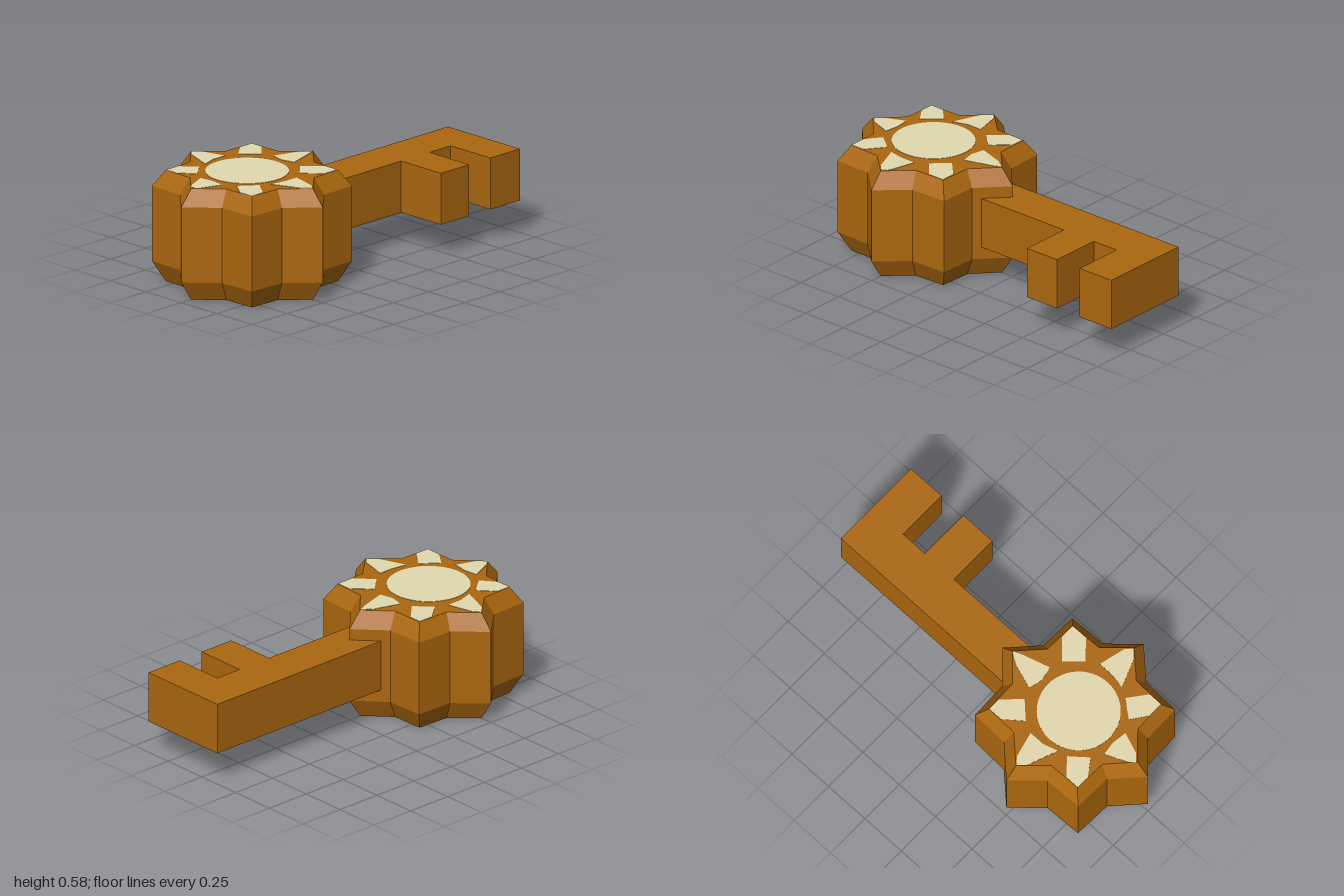
import * as THREE from 'three';

const bronze = new THREE.MeshStandardMaterial({ color: 0xab670f });
bronze.name = 'bronze';
const cream = new THREE.MeshStandardMaterial({ color: 0xe2d9ae });
cream.name = 'cream';

const HEAD_X = -0.5;
const HEAD_TOP = 0.583;

// Extrudes an outline of [x, z] points upward from y = base
function slab(shape, base, depth) {
  const geo = new THREE.ExtrudeGeometry(shape, { depth, bevelEnabled: false, curveSegments: 24 });
  geo.rotateX(-Math.PI / 2);
  geo.translate(0, base, 0);
  return geo;
}

const outline = (points) => new THREE.Shape(points.map(([x, z]) => new THREE.Vector2(x, -z)));

function add(group, name, geometry, material) {
  const mesh = new THREE.Mesh(geometry, material);
  mesh.name = name;
  group.add(mesh);
}

// Eight-pointed star with chamfered rims: a 16-sided lathe with every other column pulled in
function starHead() {
  const profile = [[0, 0], [0.43, 0], [0.5, 0.105], [0.5, 0.5], [0.43, HEAD_TOP], [0, HEAD_TOP]];
  const lathe = new THREE.LatheGeometry(profile.map(([r, y]) => new THREE.Vector2(r, y)), 16);
  const pos = lathe.attributes.position;
  for (let i = 0; i < pos.count; i++) {
    const column = Math.floor(i / profile.length);
    const k = column % 2 ? 0.78 : 1;
    pos.setX(i, pos.getX(i) * k);
    pos.setZ(i, pos.getZ(i) * k);
  }
  const geo = lathe.toNonIndexed();
  geo.computeVertexNormals();
  geo.translate(HEAD_X, 0, 0);
  return geo;
}

export function createModel() {
  const model = new THREE.Group();
  model.name = 'key';

  add(model, 'starHead', starHead(), bronze);

  // Shaft with two teeth on the front side
  const blade = outline([
    [-0.45, -0.115], [1, -0.115], [1, 0.395], [0.79, 0.395], [0.79, 0.115],
    [0.64, 0.115], [0.64, 0.395], [0.44, 0.395], [0.44, 0.115], [-0.45, 0.115],
  ]);
  add(model, 'shaftAndTeeth', slab(blade, 0.17, 0.27), bronze);

  // Sun emblem: disc and eight rays as thin plates
  const disc = new THREE.Shape().absarc(-0.53, 0.005, 0.21, 0, Math.PI * 2);
  add(model, 'sunDisc', slab(disc, HEAD_TOP - 0.002, 0.004), cream);

  const rays = {
    back: [[-0.5, -0.428], [-0.47, -0.39], [-0.435, -0.255], [-0.52, -0.255], [-0.6, -0.23], [-0.54, -0.39]],
    front: [[-0.5, 0.425], [-0.54, 0.385], [-0.6, 0.235], [-0.52, 0.25], [-0.435, 0.25], [-0.47, 0.39]],
    left: [[-0.072, 0], [-0.13, -0.04], [-0.267, -0.085], [-0.283, -0.01], [-0.267, 0.065], [-0.12, 0.02]],
    right: [[-0.928, -0.01], [-0.89, -0.035], [-0.78, -0.085], [-0.77, -0.01], [-0.78, 0.07], [-0.89, 0.03]],
    backRight: [[-0.805, -0.303], [-0.727, -0.303], [-0.652, -0.22], [-0.743, -0.144], [-0.805, -0.23]],
    backLeft: [[-0.374, -0.225], [-0.278, -0.303], [-0.198, -0.303], [-0.198, -0.235], [-0.289, -0.144]],
    frontLeft: [[-0.289, 0.13], [-0.198, 0.225], [-0.198, 0.303], [-0.289, 0.303], [-0.374, 0.21]],
    frontRight: [[-0.805, 0.303], [-0.727, 0.303], [-0.652, 0.205], [-0.743, 0.134], [-0.805, 0.22]],
  };
  for (const [side, points] of Object.entries(rays)) {
    add(model, `sunRay ${side}`, slab(outline(points), HEAD_TOP - 0.002, 0.004), cream);
  }
  return model;
}
